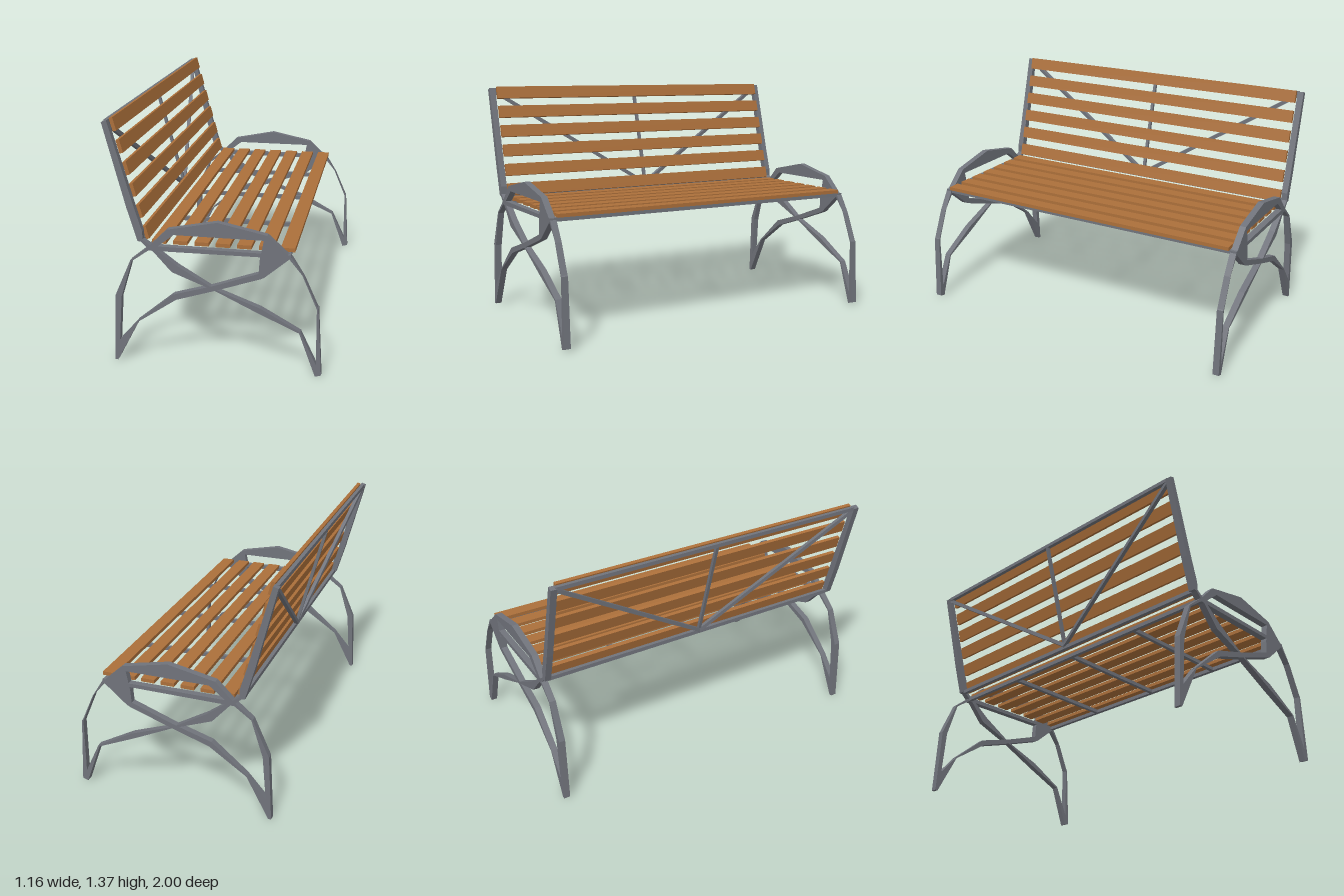
import * as THREE from 'three';

const steel = new THREE.MeshStandardMaterial({ color: 0x70737b });
steel.name = 'steel';
const wood = new THREE.MeshStandardMaterial({ color: 0xab6f3a });
wood.name = 'wood';

// Side frame straps as outlines in the x-y plane
const straps = {
  backLeg: [[-.345, .695], [-.457, .603], [-.55, .39], [-.568, .0], [-.551, .0], [-.424, .245],
    [-.424, .253], [-.535, .125], [-.515, .385], [-.45, .597], [-.335, .68]],
  risingBrace: [[-.43, .248], [-.225, .42], [0, .488], [.24, .575], [.25, .545], [0, .458], [-.21, .39], [-.424, .244]],
  fallingBrace: [[-.355, .69], [-.23, .55], [0, .461], [.24, .346], [.46, .248], [.465, .256],
    [.25, .376], [0, .469], [-.2, .588], [-.335, .69]],
  frontStrut: [[.24, .575], [.25, .545], [.27, .555], [.41, .675], [.285, .79], [.267, .765], [.245, .65]],
  armrest: [[-.355, .685], [-.25, .79], [.02, .845], [.285, .79], [.27, .762], [-.215, .762], [-.325, .675]],
  frontLeg: [[.412, .68], [.48, .57], [.553, .405], [.559, .4], [.581, .01], [.548, 0], [.458, .25],
    [.465, .256], [.552, .07], [.55, .395], [.47, .583], [.395, .675]],
  seatSideRail: [[-.36, .665], [-.36, .692], [.41, .69], [.41, .67]],
  backStile: [[-.583, 1.355], [-.555, 1.365], [-.425, .9], [-.385, .77], [-.385, .712], [-.413, .715], [-.467, .9]],
  backJoint: [[-.405, .722], [-.385, .725], [-.33, .685], [-.35, .672]],
};

function plate(name, outline, z, depth) {
  const shape = new THREE.Shape(outline.map(([x, y]) => new THREE.Vector2(x, y)));
  const mesh = new THREE.Mesh(new THREE.ExtrudeGeometry(shape, { depth, bevelEnabled: false }), steel);
  mesh.name = name;
  mesh.position.z = z;
  return mesh;
}

// Square steel bar between two points
function bar(name, a, b, size = 0.022) {
  const from = new THREE.Vector3(...a), to = new THREE.Vector3(...b);
  const mesh = new THREE.Mesh(new THREE.BoxGeometry(size, size, from.distanceTo(to)), steel);
  mesh.name = name;
  mesh.position.copy(from).add(to).multiplyScalar(0.5);
  mesh.lookAt(to);
  return mesh;
}

function slat(name, x, y, w, h, tilt = 0) {
  const mesh = new THREE.Mesh(new THREE.BoxGeometry(w, h, 1.92), wood);
  mesh.name = name;
  mesh.position.set(x, y, 0);
  mesh.rotation.z = tilt;
  return mesh;
}

export function createModel() {
  const bench = new THREE.Group();
  bench.name = 'bench';

  // Two identical side frames
  for (const [name, z] of [['leftFrame', -1], ['rightFrame', 0.963]]) {
    const frame = new THREE.Group();
    frame.name = name;
    for (const part in straps) frame.add(plate(part, straps[part], z, 0.037));
    bench.add(frame);
  }

  // Seat slats and the rails below them
  for (let i = 0; i < 7; i++) bench.add(slat('seatSlat', -0.305 + i * 0.1155, 0.704, 0.077, 0.021));
  bench.add(bar('seatFrontRail', [.395, .68, -.97], [.395, .68, .97]));
  bench.add(bar('seatBackRail', [-.345, .68, -.97], [-.345, .68, .97]));
  for (const z of [-0.5, 0, 0.5]) bench.add(bar('seatCrossBar', [-.345, .68, z], [.395, .68, z]));

  // Leaning back slats
  for (let i = 0; i < 6; i++) {
    const t = i / 5;
    bench.add(slat('backSlat', -0.535 + t * 0.157, 1.336 - t * 0.585, 0.02, 0.073, 0.265));
  }

  // Back frame with a centre post and two diagonals
  bench.add(bar('backTopRail', [-.567, 1.352, -.97], [-.567, 1.352, .97]));
  bench.add(bar('backBottomRail', [-.395, .718, -.97], [-.395, .718, .97]));
  bench.add(bar('backPost', [-.4, .72, 0], [-.567, 1.345, 0], 0.018));
  for (const s of [-1, 1]) bench.add(bar('backDiagonal', [-.405, .73, 0], [-.565, 1.345, s * 0.97]));

  return bench;
}
